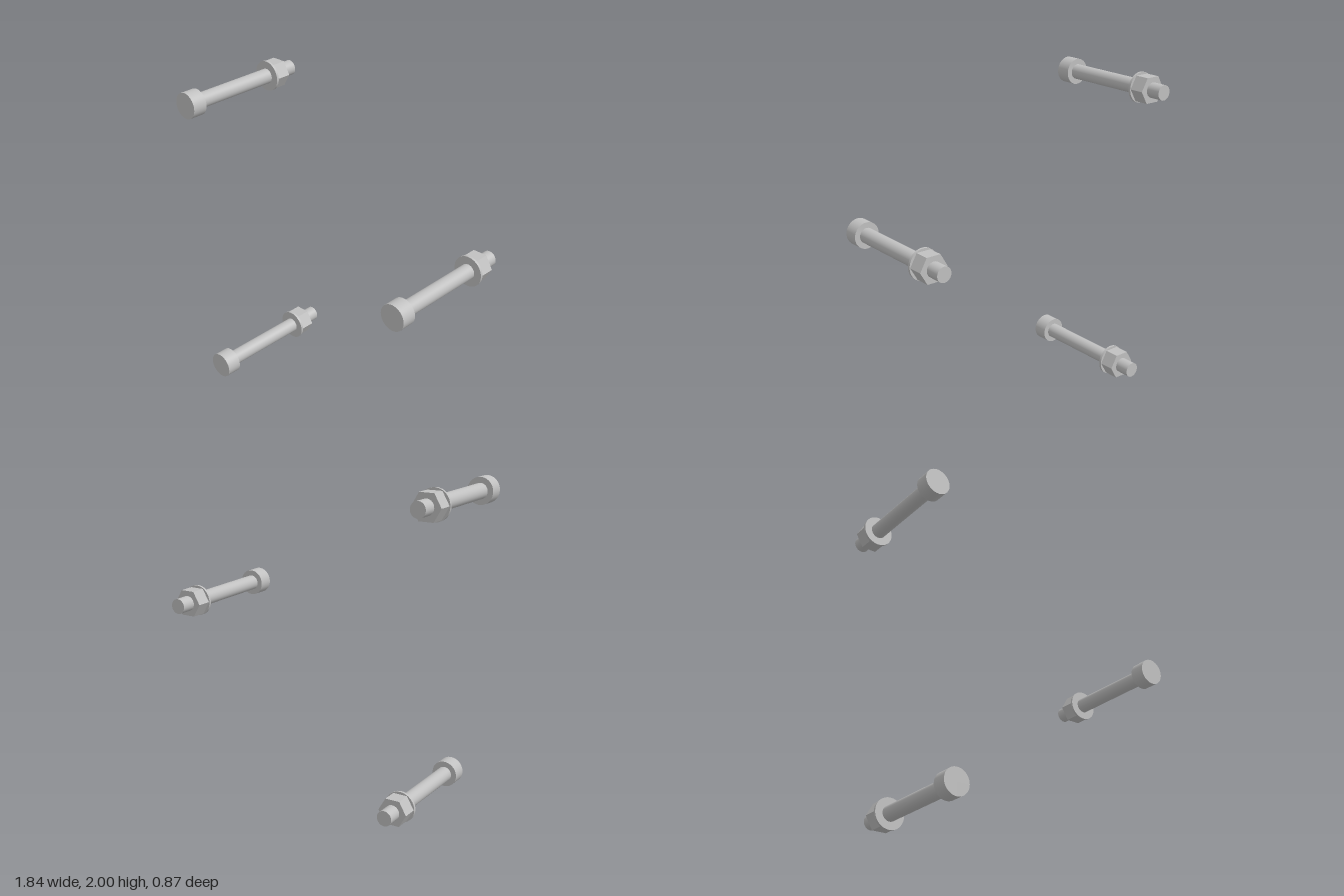
import * as THREE from 'three';

// Solid disc or prism lying along z, from z0 (back) to z1 (front)
function barZ(radius, z0, z1, sides = 48, turn = 0) {
  const g = new THREE.CylinderGeometry(radius, radius, z1 - z0, sides, 1, false, turn);
  g.rotateX(Math.PI / 2);
  g.translate(0, 0, (z0 + z1) / 2);
  return g;
}

export function createModel() {
  const model = new THREE.Group();
  model.name = 'boltSet';

  const steel = new THREE.MeshStandardMaterial({ color: 0xc0c0c0 });
  steel.name = 'steel grey';

  // The hexagonal nut has its corners on the left and right, flats on top and bottom
  const nutGeometry = barZ(0.0915, -0.339, -0.244, 6, Math.PI / 6).toNonIndexed();
  nutGeometry.computeVertexNormals();

  const parts = {
    head: barZ(0.082, 0.34, 0.435),
    shank: barZ(0.0475, -0.435, 0.34),
    washer: barZ(0.0955, -0.244, -0.229),
    nut: nutGeometry,
  };

  // Three identical bolts, placed by their axes
  const places = [[-0.825, 1.905], [0.825, 1.155], [-0.65, 0.0955]];
  places.forEach(([x, y], i) => {
    const bolt = new THREE.Group();
    bolt.name = `bolt${i + 1}`;
    for (const [name, geometry] of Object.entries(parts)) {
      const mesh = new THREE.Mesh(geometry, steel);
      mesh.name = name;
      bolt.add(mesh);
    }
    bolt.position.set(x, y, 0);
    model.add(bolt);
  });

  return model;
}
